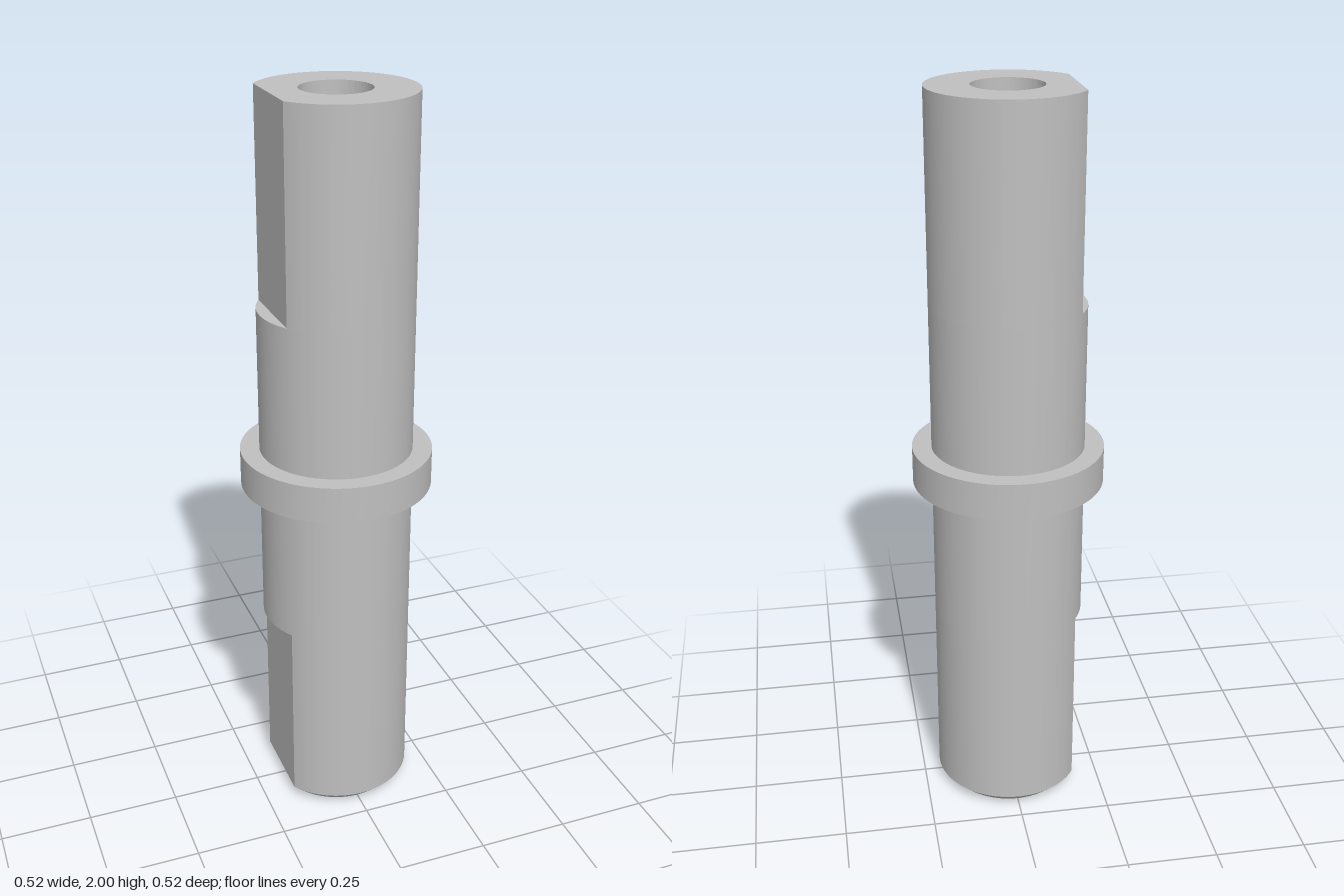
import * as THREE from 'three';
import { toCreasedNormals } from 'three/addons/utils/BufferGeometryUtils.js';

const R = 0.206, FLAT = 0.172, HOLE = 0.092;
const ARC = 84, CHORD = 16;

// Ring at height y: a circle cut by a flat on the -x side, or a full circle when cut is false
function ring(y, r, flat, cut = true) {
  const a = Math.PI - Math.acos(cut ? flat / r : FLAT / R);
  const points = [];
  for (let i = 0; i < ARC + CHORD; i++) {
    const t = i < ARC
      ? -a + (2 * a * i) / ARC
      : a + ((2 * Math.PI - 2 * a) * (i - ARC)) / CHORD;
    const d = cut && i >= ARC ? flat / -Math.cos(t) : r;
    points.push(new THREE.Vector3(d * Math.cos(t), y, -d * Math.sin(t)));
  }
  return points;
}

const circle = (y, r) => ring(y, r, 0, false);

// Skin a sequence of rings, keeping the machined edges sharp
function loft(rings) {
  const pos = [];
  const tri = (a, b, c) => {
    if (a.distanceTo(b) < 1e-6 || b.distanceTo(c) < 1e-6 || c.distanceTo(a) < 1e-6) return;
    pos.push(...a.toArray(), ...b.toArray(), ...c.toArray());
  };
  for (let i = 0; i < rings.length - 1; i++) {
    const lo = rings[i], hi = rings[i + 1], n = lo.length;
    for (let j = 0; j < n; j++) {
      const k = (j + 1) % n;
      tri(lo[j], lo[k], hi[k]);
      tri(lo[j], hi[k], hi[j]);
    }
  }
  const geometry = new THREE.BufferGeometry();
  geometry.setAttribute('position', new THREE.Float32BufferAttribute(pos, 3));
  return toCreasedNormals(geometry, 0.4);
}

export function createModel() {
  const group = new THREE.Group();
  const steel = new THREE.MeshStandardMaterial({ color: 0xbfbfbf });
  steel.name = 'steel';

  const add = (name, geometry) => {
    const mesh = new THREE.Mesh(geometry, steel);
    mesh.name = name;
    group.add(mesh);
  };

  // Lower end: blind bore, countersink, chamfer and flat
  add('lowerShaft', loft([
    circle(0.4, 0), circle(0.4, HOLE), circle(0.027, HOLE), circle(0, 0.119),
    ring(0, R - 0.03, FLAT - 0.03), ring(0.03, R, FLAT), ring(0.555, R, FLAT),
  ]));

  // Full-round middle with its collar; the end faces form the ledges above the flats
  add('middleShaft', loft([
    circle(0.555, 0), circle(0.555, R), circle(0.955, R),
    circle(0.955, 0.258), circle(1.055, 0.258),
    circle(1.055, R), circle(1.45, R), circle(1.45, 0),
  ]));

  // Upper end: flat and blind bore with a sharp rim
  add('upperShaft', loft([
    ring(1.45, R, FLAT), ring(2, R, FLAT),
    circle(2, HOLE), circle(1.6, HOLE), circle(1.6, 0),
  ]));

  return group;
}
